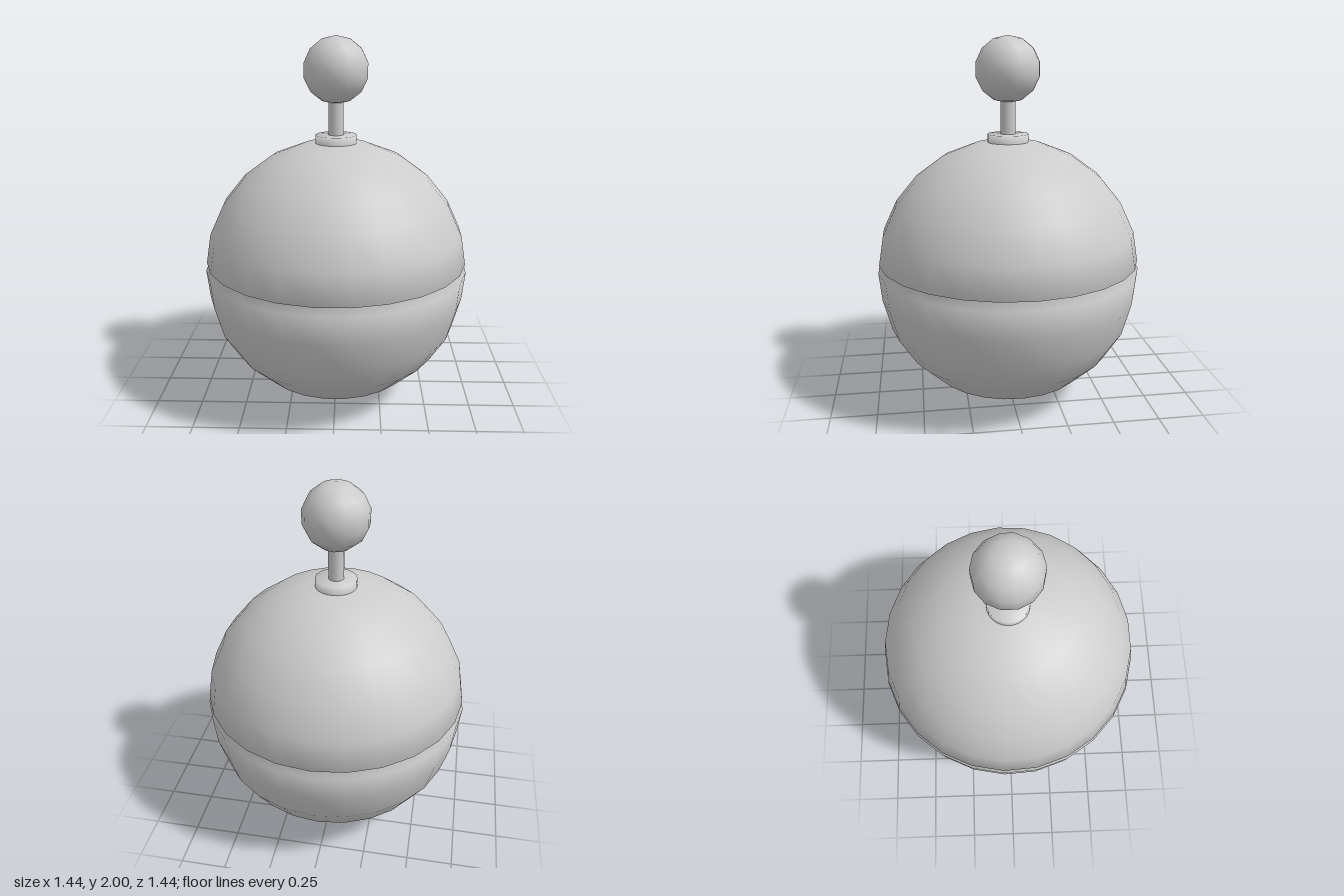
import * as THREE from 'three';

const material = new THREE.MeshStandardMaterial({ color: 0xcccccc });

// Revolve a [radius, height] profile (bottom to top) with a corner at the back
function turned(name, profile, sides) {
  const points = profile.map(([r, y]) => new THREE.Vector2(r, y));
  const mesh = new THREE.Mesh(new THREE.LatheGeometry(points, sides, Math.PI), material);
  mesh.name = name;
  return mesh;
}

export function createModel() {
  const group = new THREE.Group();
  group.name = 'groovedBallWithKnob';

  // Round body: lower bowl, V-shaped groove, upper dome
  group.add(turned('body', [
    [0, 0.005], [0.265, 0.055], [0.425, 0.14], [0.57, 0.28], [0.66, 0.425],
    [0.707, 0.6], [0.723, 0.755],
    [0.65, 0.777],
    [0.717, 0.8], [0.69, 0.96], [0.615, 1.12], [0.5, 1.26], [0.35, 1.37],
    [0.178, 1.437], [0, 1.452],
  ], 25));

  // Collar where the stem meets the dome
  group.add(turned('collar', [
    [0.11, 1.43], [0.11, 1.487], [0, 1.487],
  ], 25));

  // Thin stem
  group.add(turned('stem', [[0.041, 1.47], [0.041, 1.68]], 14));

  // Ball on top
  const knob = new THREE.Mesh(new THREE.SphereGeometry(0.175, 14, 7, Math.PI / 2), material);
  knob.name = 'knob';
  knob.position.y = 1.825;
  group.add(knob);

  return group;
}
